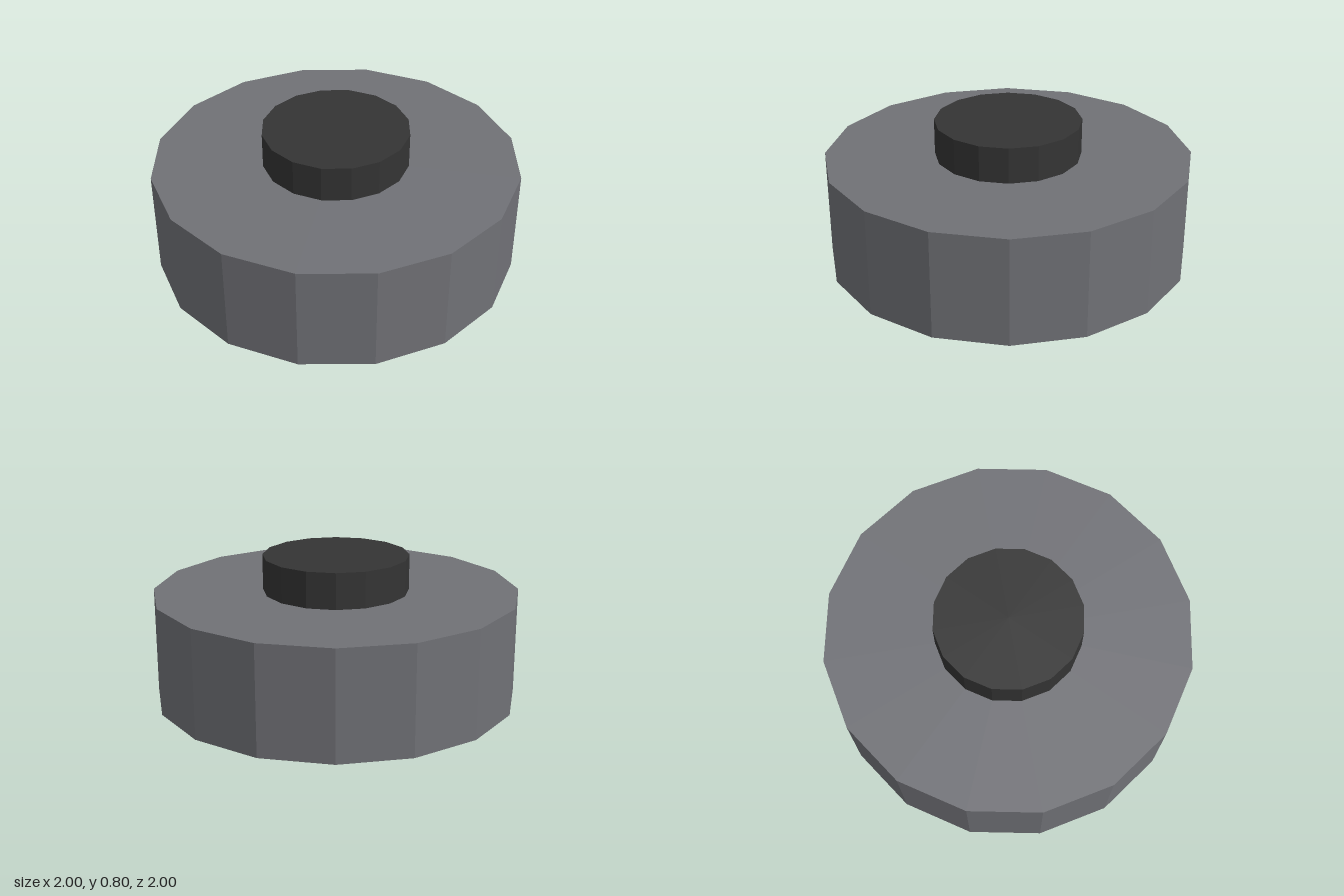
import * as THREE from 'three';

const SIDES = 16;
// radius that puts the flat sides at the given half width
const cornerRadius = (half) => half / Math.cos(Math.PI / SIDES);

export function createModel() {
  const group = new THREE.Group();
  const grey = new THREE.MeshStandardMaterial({ color: 0x707176, flatShading: true, side: THREE.DoubleSide });
  grey.name = 'grey';
  const charcoal = new THREE.MeshStandardMaterial({ color: 0x343434, flatShading: true });
  charcoal.name = 'charcoal';

  const add = (name, geometry, material, y) => {
    geometry.rotateY(Math.PI / SIDES); // flat side to the front
    const mesh = new THREE.Mesh(geometry, material);
    mesh.name = name;
    mesh.position.y = y;
    group.add(mesh);
  };

  // thin-walled shell, open underneath
  const r = cornerRadius(1);
  add('shellWall', new THREE.CylinderGeometry(r, r, 0.6, SIDES, 1, true), grey, 0.3);
  add('shellTop', new THREE.CircleGeometry(r, SIDES, Math.PI / 2).rotateX(-Math.PI / 2), grey, 0.6);

  // raised knob, its underside covered by the shell top
  const k = cornerRadius(0.4);
  add('knobWall', new THREE.CylinderGeometry(k, k, 0.2, SIDES, 1, true), charcoal, 0.7);
  add('knobTop', new THREE.CircleGeometry(k, SIDES, Math.PI / 2).rotateX(-Math.PI / 2), charcoal, 0.8);

  return group;
}
